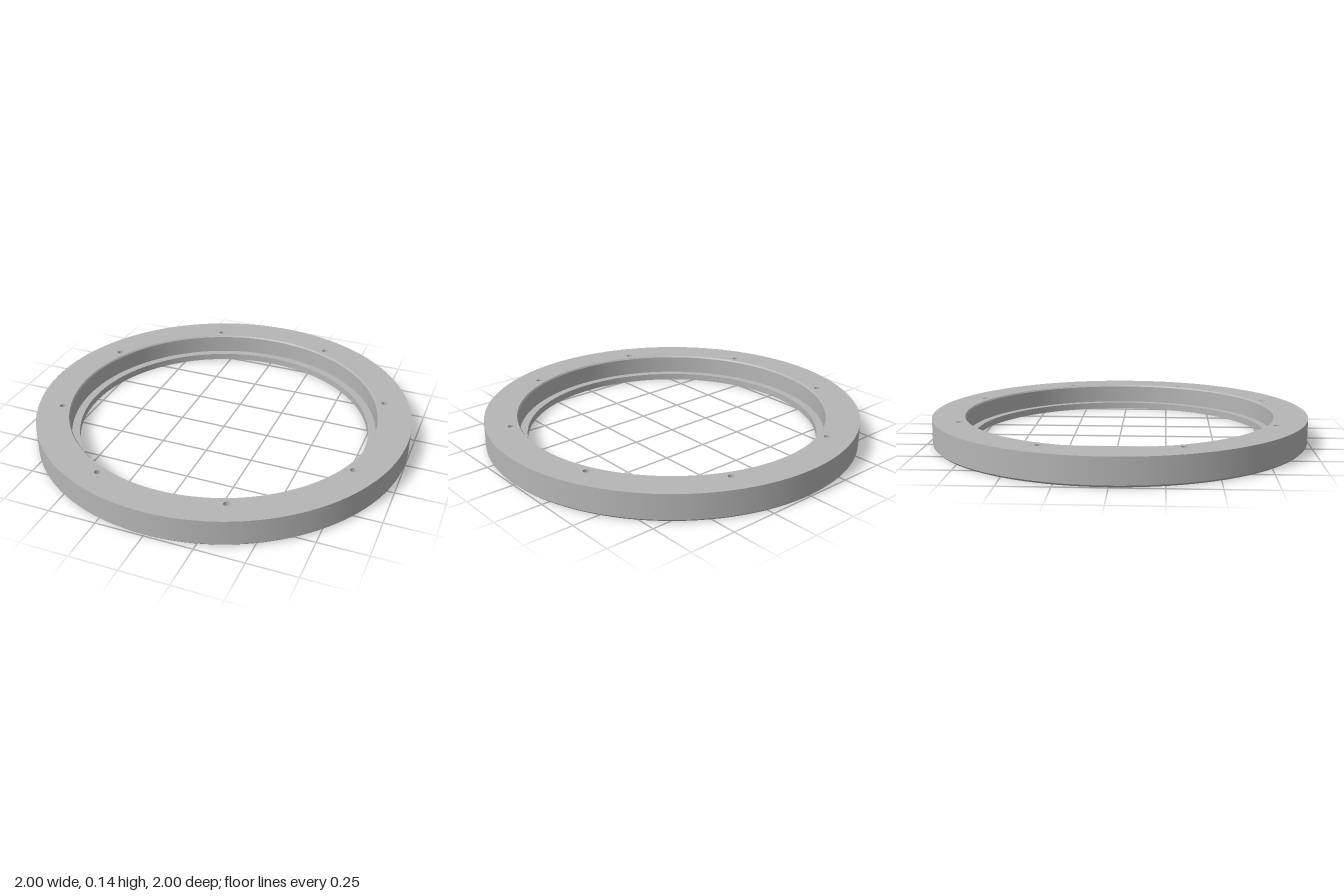
import * as THREE from 'three';
import { mergeGeometries } from 'three/addons/utils/BufferGeometryUtils.js';

const HEIGHT = 0.14, RING_SEGS = 128, HOLE_SEGS = 24;
const BOLT_CIRCLE = 0.87, BOLT_COUNT = 8;
const HOLE_R = 0.016, COUNTERBORE_R = 0.033, COUNTERBORE_DEPTH = 0.07;

// Revolves every profile segment on its own, so edges stay sharp and curves smooth
function revolve(profile, segs) {
  const parts = [];
  for (let i = 0; i < profile.length - 1; i++) {
    const pair = [profile[i], profile[i + 1]].map(([r, y]) => new THREE.Vector2(r, y));
    parts.push(new THREE.LatheGeometry(pair, segs));
  }
  return mergeGeometries(parts);
}

function circlePoints(r, segs, cx = 0, cy = 0) {
  return Array.from({ length: segs }, (_, i) => {
    const a = (i / segs) * Math.PI * 2;
    return new THREE.Vector2(cx + r * Math.cos(a), cy + r * Math.sin(a));
  });
}

const boltCentres = Array.from({ length: BOLT_COUNT }, (_, i) => {
  const a = ((i + 0.5) / BOLT_COUNT) * Math.PI * 2;
  return [BOLT_CIRCLE * Math.cos(a), BOLT_CIRCLE * Math.sin(a)];
});

// Flat annulus pierced by the bolt holes
function drilledFace(outer, inner, holeR) {
  const shape = new THREE.Shape(circlePoints(outer, RING_SEGS));
  shape.holes.push(new THREE.Path(circlePoints(inner, RING_SEGS)));
  for (const [x, y] of boltCentres) {
    shape.holes.push(new THREE.Path(circlePoints(holeR, HOLE_SEGS, x, y)));
  }
  return new THREE.ShapeGeometry(shape);
}

export function createModel() {
  const group = new THREE.Group();
  group.name = 'flangeRing';
  const metal = new THREE.MeshStandardMaterial({ color: 0xb6b6b6 });
  metal.name = 'grey metal';

  const add = (name, geometry) => {
    const mesh = new THREE.Mesh(geometry, metal);
    mesh.name = name;
    group.add(mesh);
    return mesh;
  };

  // Outer wall with the small chamfer at its foot
  add('outerWall', revolve([[0.99, 0], [1, 0.01], [1, HEIGHT]], RING_SEGS));

  // Stepped bore: top chamfer, wide bore, ledge, narrow bore
  add('steppedBore', revolve(
    [[0.828, HEIGHT], [0.822, HEIGHT - 0.008], [0.822, 0.036], [0.78, 0.036], [0.78, 0]],
    RING_SEGS));

  // Top and bottom faces
  add('topFace', drilledFace(1, 0.828, HOLE_R).rotateX(-Math.PI / 2)).position.y = HEIGHT;
  add('bottomFace', drilledFace(0.99, 0.78, COUNTERBORE_R).rotateX(Math.PI / 2));

  // Bolt holes, counterbored from below
  const holeGeometry = revolve([
    [HOLE_R, HEIGHT], [HOLE_R, COUNTERBORE_DEPTH],
    [COUNTERBORE_R, COUNTERBORE_DEPTH], [COUNTERBORE_R, 0],
  ], HOLE_SEGS);
  boltCentres.forEach(([x, z], i) => {
    add(`boltHole${i + 1}`, holeGeometry).position.set(x, 0, z);
  });

  return group;
}
